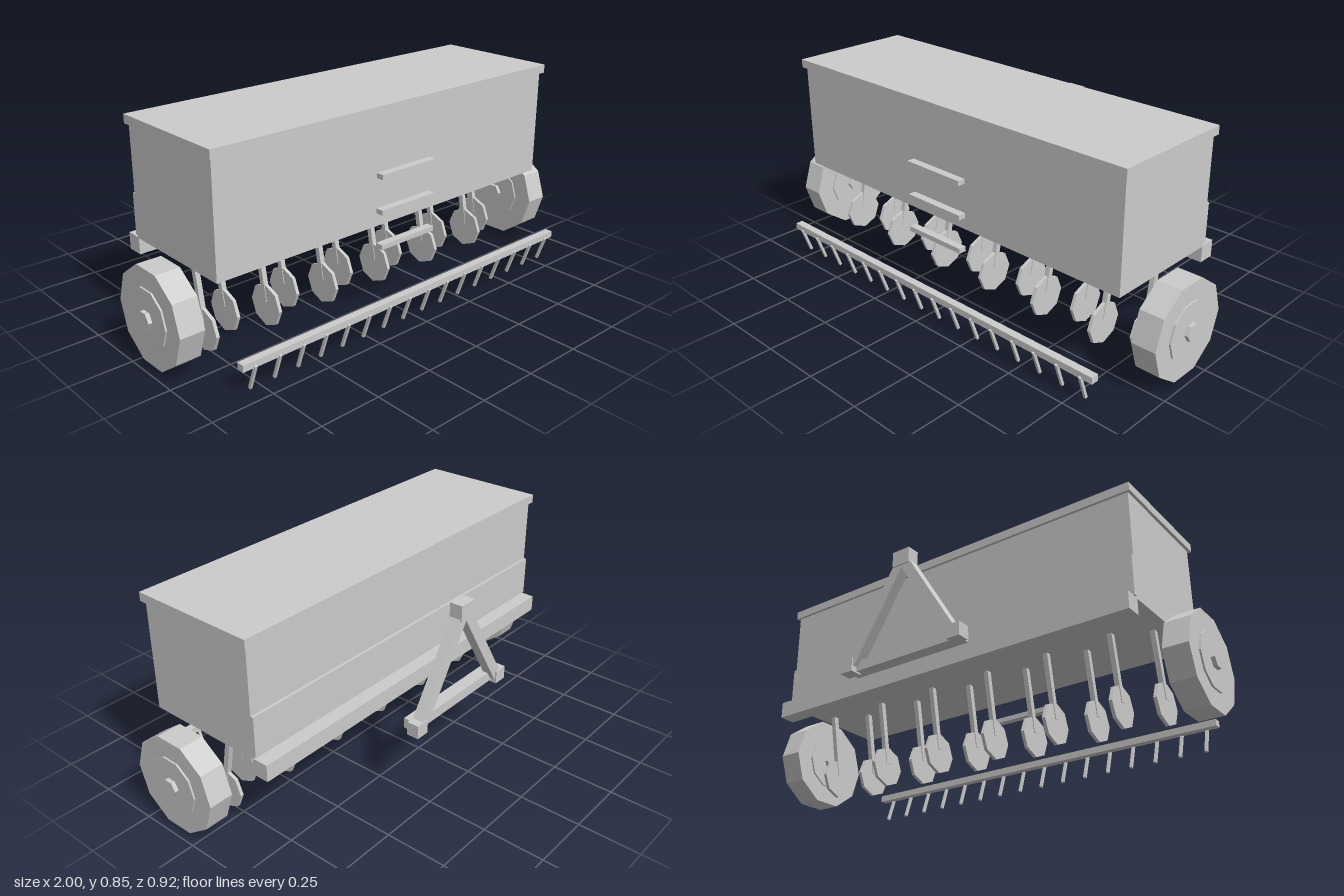
import * as THREE from 'three';

export function createModel() {
  const model = new THREE.Group();
  model.name = 'seedDrill';
  const grey = new THREE.MeshStandardMaterial({ color: 0xcccccc, flatShading: true });

  const add = (name, geometry, parent = model) => {
    const mesh = new THREE.Mesh(geometry, grey);
    mesh.name = name;
    parent.add(mesh);
    return mesh;
  };

  // Box given by its minimum and maximum on each axis
  const box = (name, [x0, x1], [y0, y1], [z0, z1], parent) => {
    const mesh = add(name, new THREE.BoxGeometry(x1 - x0, y1 - y0, z1 - z0), parent);
    mesh.position.set((x0 + x1) / 2, (y0 + y1) / 2, (z0 + z1) / 2);
    return mesh;
  };

  // Polygonal disc lying across the x axis
  const disc = (name, radius, width, sides, x, y, z, parent) => {
    const geometry = new THREE.CylinderGeometry(radius, radius, width, sides);
    geometry.rotateZ(Math.PI / 2);
    // First corner points along z
    const mesh = add(name, geometry, parent);
    mesh.position.set(x, y, z);
    return mesh;
  };

  // Square bar between two points
  const bar = (name, a, b, width, depth, parent) => {
    const from = new THREE.Vector3(...a), to = new THREE.Vector3(...b);
    const mesh = add(name, new THREE.BoxGeometry(width, from.distanceTo(to), depth), parent);
    mesh.position.copy(from).add(to).multiplyScalar(0.5);
    mesh.quaternion.setFromUnitVectors(new THREE.Vector3(0, 1, 0), to.sub(from).normalize());
    return mesh;
  };

  // Seed hopper, lid, rear panel and frame beam
  box('hopper', [-0.84, 0.84], [0.38, 0.822], [-0.18, 0.325]);
  box('lid', [-0.852, 0.852], [0.82, 0.855], [-0.192, 0.34]);
  box('rearPanel', [-0.84, 0.84], [0.39, 0.555], [-0.192, -0.17]);
  box('frameBeam', [-0.84, 0.84], [0.315, 0.383], [-0.243, -0.175]);

  // Front steps
  for (const y of [0.32, 0.46, 0.6]) {
    box('step', [-0.14, 0.14], [y - 0.01, y + 0.01], [0.355, 0.387]);
  }

  // Wheels
  for (const side of [-1, 1]) {
    const wheel = new THREE.Group();
    wheel.name = side > 0 ? 'leftWheel' : 'rightWheel';
    wheel.position.set(side * 0.927, 0.209, 0.101);
    model.add(wheel);
    disc('tyre', 0.196, 0.1, 10, 0, 0, 0, wheel);
    disc('rim', 0.117, 0.114, 10, 0, 0, 0, wheel);
    disc('axle', 0.035, 0.146, 6, 0, 0, 0, wheel);
  }

  // Staggered disc openers on leaning arms
  for (let i = 0; i < 12; i++) {
    const x = (i - 5.5) * 0.1405;
    const z = i % 2 ? 0.06 : 0.13;
    const opener = new THREE.Group();
    opener.name = 'discOpener';
    model.add(opener);
    bar('openerArm', [x, 0.12, z], [x, 0.39, z - 0.05], 0.02, 0.022, opener);
    disc('openerDisc', 0.085, 0.014, 8, x, 0.105, z, opener);
  }

  // Harrow bar with raked tines
  box('harrowBar', [-0.84, 0.84], [0.1, 0.127], [0.423, 0.455]);
  for (let i = 0; i < 16; i++) {
    const x = (i - 7.5) * 0.1053;
    bar('harrowTine', [x, 0.005, 0.421], [x, 0.108, 0.457], 0.011, 0.011);
  }

  // Three point hitch
  const hitch = new THREE.Group();
  hitch.name = 'hitch';
  model.add(hitch);
  box('topHitchBlock', [-0.04, 0.04], [0.68, 0.745], [-0.459, -0.405], hitch);
  box('hitchCrossbar', [-0.265, 0.265], [0.3, 0.342], [-0.432, -0.378], hitch);
  for (const side of [-1, 1]) {
    const x = side * 0.256;
    box('lowerHitchBlock', [x - 0.029, x + 0.029], [0.293, 0.348], [-0.459, -0.408], hitch);
    bar('hitchLeg', [side * 0.24, 0.325, -0.431], [side * 0.01, 0.695, -0.431], 0.044, 0.044, hitch);
  }

  return model;
}
